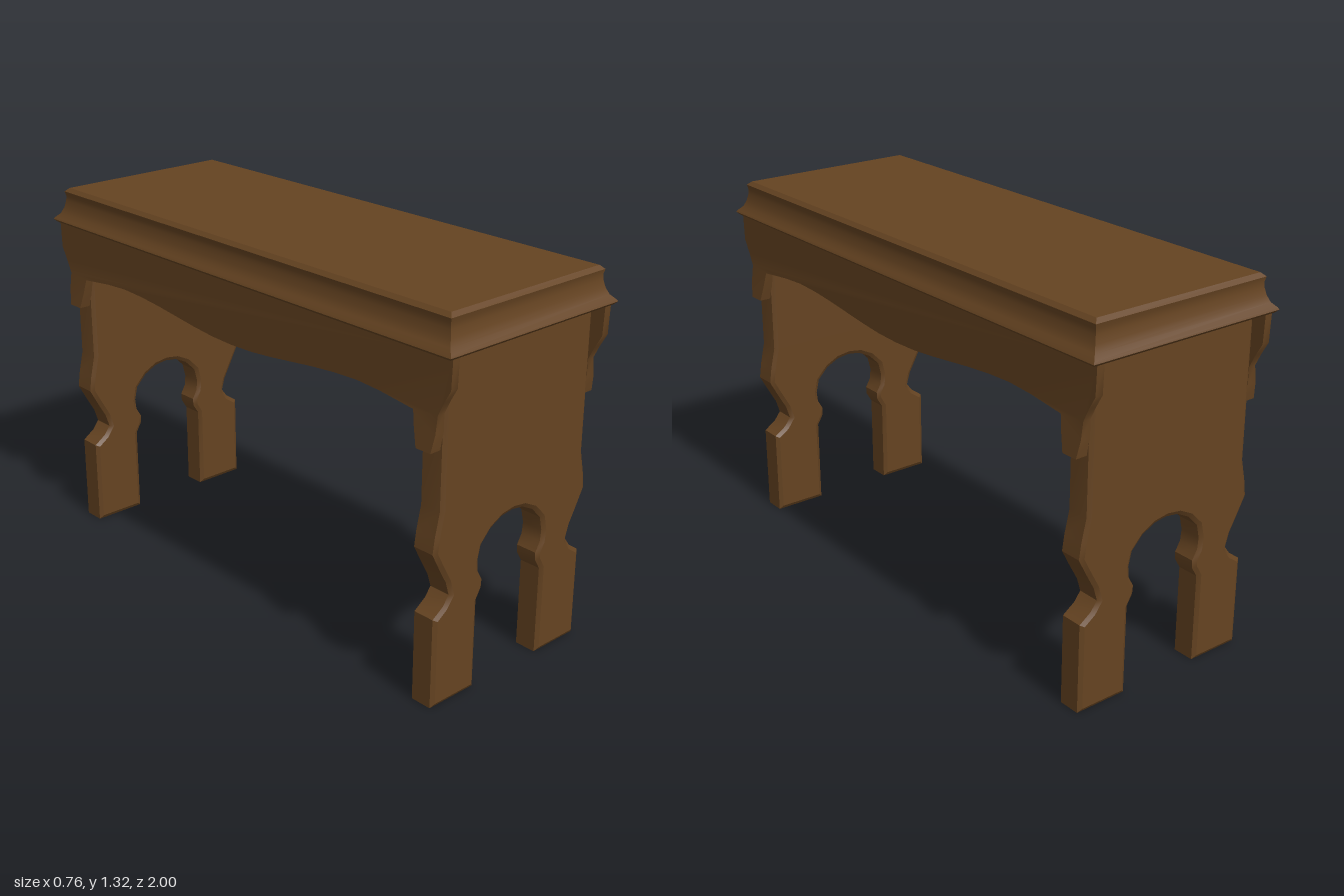
import * as THREE from 'three';
import { toCreasedNormals } from 'three/addons/utils/BufferGeometryUtils.js';

const wood = new THREE.MeshStandardMaterial({ color: 0x654321 });
wood.name = 'brown wood';

const CREASE = 0.5;

// Closed outline symmetric about the vertical axis, from its +x half (bottom to top order irrelevant)
function mirroredShape(half) {
  const pts = half.map(([x, y]) => new THREE.Vector2(x, y));
  const other = half.filter(([x]) => x > 0).reverse().map(([x, y]) => new THREE.Vector2(-x, y));
  return new THREE.Shape([...pts, ...other]);
}

function addMesh(group, name, geometry) {
  const mesh = new THREE.Mesh(geometry, wood);
  mesh.name = name;
  group.add(mesh);
  return mesh;
}

// Seat slab: rectangular rings following a cove moulding, capped top and bottom
function seatGeometry() {
  const profile = [
    [0.372, 1.187], [0.382, 1.197], [0.378, 1.204], [0.362, 1.22], [0.352, 1.242],
    [0.346, 1.268], [0.345, 1.285], [0.349, 1.302], [0.335, 1.315],
  ];
  const rings = profile.map(([x, y]) => {
    const z = x + 0.618;
    return [[x, y, z], [x, y, -z], [-x, y, -z], [-x, y, z]];
  });
  const pos = [];
  const quad = (a, b, c, d) => pos.push(...a, ...b, ...c, ...a, ...c, ...d);
  for (let i = 0; i < rings.length - 1; i++) {
    for (let k = 0; k < 4; k++) {
      const n = (k + 1) % 4;
      quad(rings[i][k], rings[i][n], rings[i + 1][n], rings[i + 1][k]);
    }
  }
  quad(...rings[rings.length - 1]);
  quad(...[...rings[0]].reverse());
  const g = new THREE.BufferGeometry();
  g.setAttribute('position', new THREE.Float32BufferAttribute(pos, 3));
  return toCreasedNormals(g, CREASE);
}

// End board with an arched cut-out leaving two scrolled feet
function endBoardGeometry() {
  const shape = mirroredShape([
    [0, 0.58], [0.05, 0.573], [0.1, 0.548], [0.142, 0.505], [0.154, 0.455], [0.15, 0.415],
    [0.13, 0.38], [0.132, 0.352], [0.154, 0.315], [0.154, 0],
    [0.35, 0], [0.35, 0.317], [0.305, 0.348], [0.281, 0.38], [0.296, 0.428],
    [0.328, 0.485], [0.36, 0.545], [0.352, 0.6], [0.334, 0.68], [0.334, 1.195],
  ]);
  const g = new THREE.ExtrudeGeometry(shape, {
    depth: 0.077, bevelEnabled: true, bevelSegments: 1,
    bevelThickness: 0.009, bevelSize: 0.014, bevelOffset: -0.014,
  });
  g.translate(0, 0, -0.0385);
  return toCreasedNormals(g, CREASE);
}

// Side apron with a wavy lower edge and flared bracket ears
function apronGeometry() {
  const shape = mirroredShape([
    [0, 0.965], [0.1, 0.968], [0.2, 0.977], [0.3, 0.989], [0.4, 1.001], [0.5, 1.01],
    [0.6, 1.014], [0.7, 1.008], [0.84, 0.992], [0.85, 0.945], [0.868, 0.88],
    [0.928, 0.88], [0.938, 0.94], [0.938, 1.0], [0.96, 1.045], [0.986, 1.09], [0.99, 1.195],
  ]);
  const g = new THREE.ExtrudeGeometry(shape, { depth: 0.028, bevelEnabled: false });
  g.rotateY(-Math.PI / 2);
  g.translate(-0.332, 0, 0);
  // Lean the outer face outwards below the rail, at the ears only
  const p = g.attributes.position;
  for (let i = 0; i < p.count; i++) {
    if (p.getX(i) < -0.34 && Math.abs(p.getZ(i)) > 0.83) {
      p.setX(i, p.getX(i) - 0.016 * Math.max(0, (1 - p.getY(i)) / 0.12));
    }
  }
  return toCreasedNormals(g, CREASE);
}

export function createModel() {
  const group = new THREE.Group();
  group.name = 'bench';

  addMesh(group, 'seat', seatGeometry());

  const board = endBoardGeometry();
  addMesh(group, 'frontEndBoard', board).position.z = 0.897;
  addMesh(group, 'backEndBoard', board).position.z = -0.897;

  const apron = apronGeometry();
  addMesh(group, 'rightApron', apron);
  addMesh(group, 'leftApron', apron).rotation.y = Math.PI;

  return group;
}
